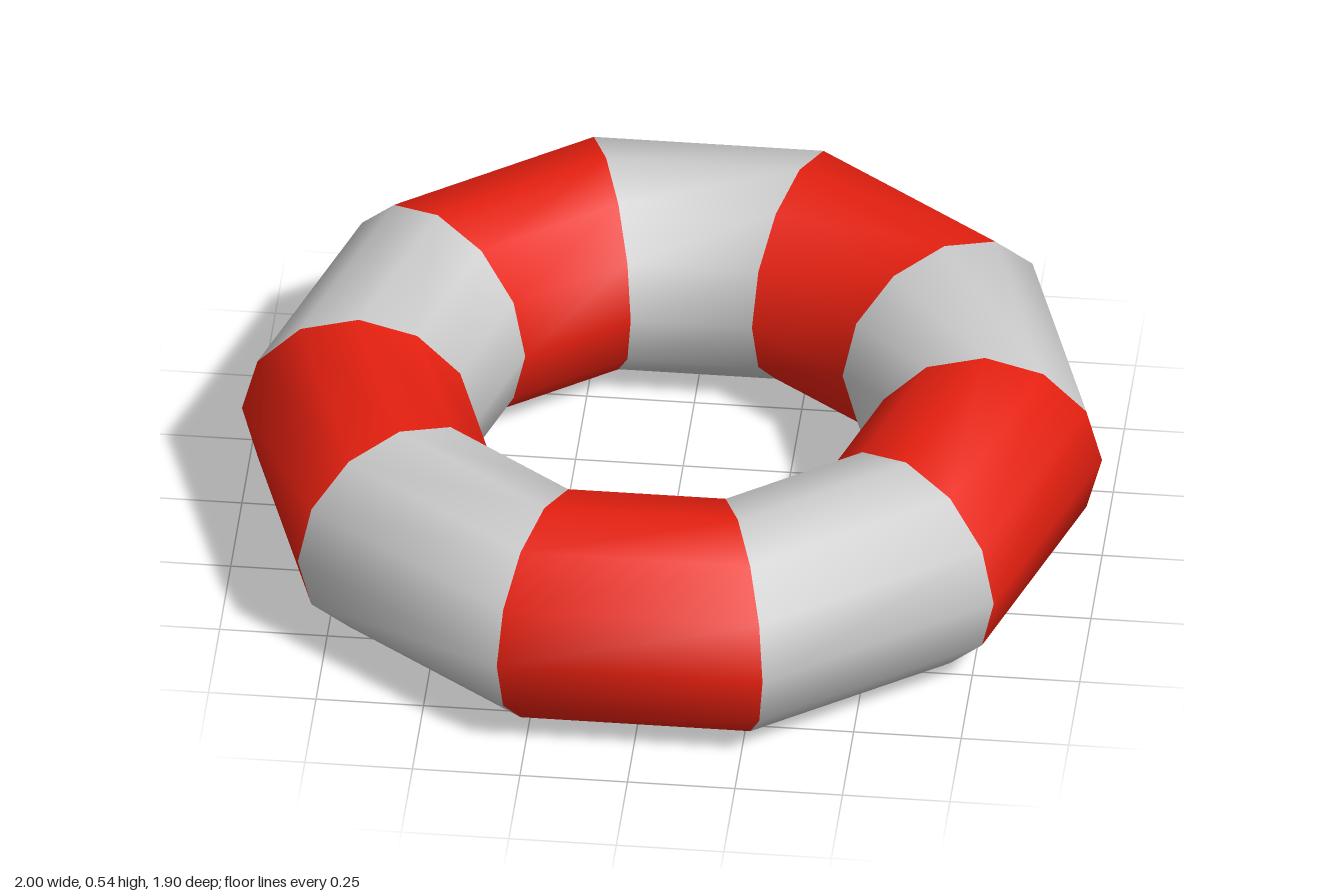
import * as THREE from 'three';

const SEGMENTS = 10, SIDES = 12;
const TUBE = 0.272, RING = 1 - TUBE;

export function createModel() {
  const group = new THREE.Group();
  group.name = 'lifebuoy';

  // Whole ring lying flat; each stripe takes the faces of one ring segment,
  // so the smooth normals run on across the colour seams.
  const ring = new THREE.TorusGeometry(RING, TUBE, SIDES, SEGMENTS);
  ring.rotateX(Math.PI / 2);
  ring.translate(0, TUBE, 0);
  const index = Array.from(ring.index.array);

  const red = new THREE.MeshStandardMaterial({ color: 0xe62010 });
  const grey = new THREE.MeshStandardMaterial({ color: 0xcccccc });

  for (let s = 0; s < SEGMENTS; s++) {
    const faces = [];
    for (let side = 0; side < SIDES; side++) {
      const start = (side * SEGMENTS + s) * 6;
      faces.push(...index.slice(start, start + 6));
    }
    const geometry = ring.clone();
    geometry.setIndex(faces);
    // Drop the vertices of the other segments
    const stripe = new THREE.Mesh(geometry.toNonIndexed(), s % 2 ? grey : red);
    stripe.name = (s % 2 ? 'greyStripe' : 'redStripe') + (Math.floor(s / 2) + 1);
    group.add(stripe);
  }
  return group;
}
